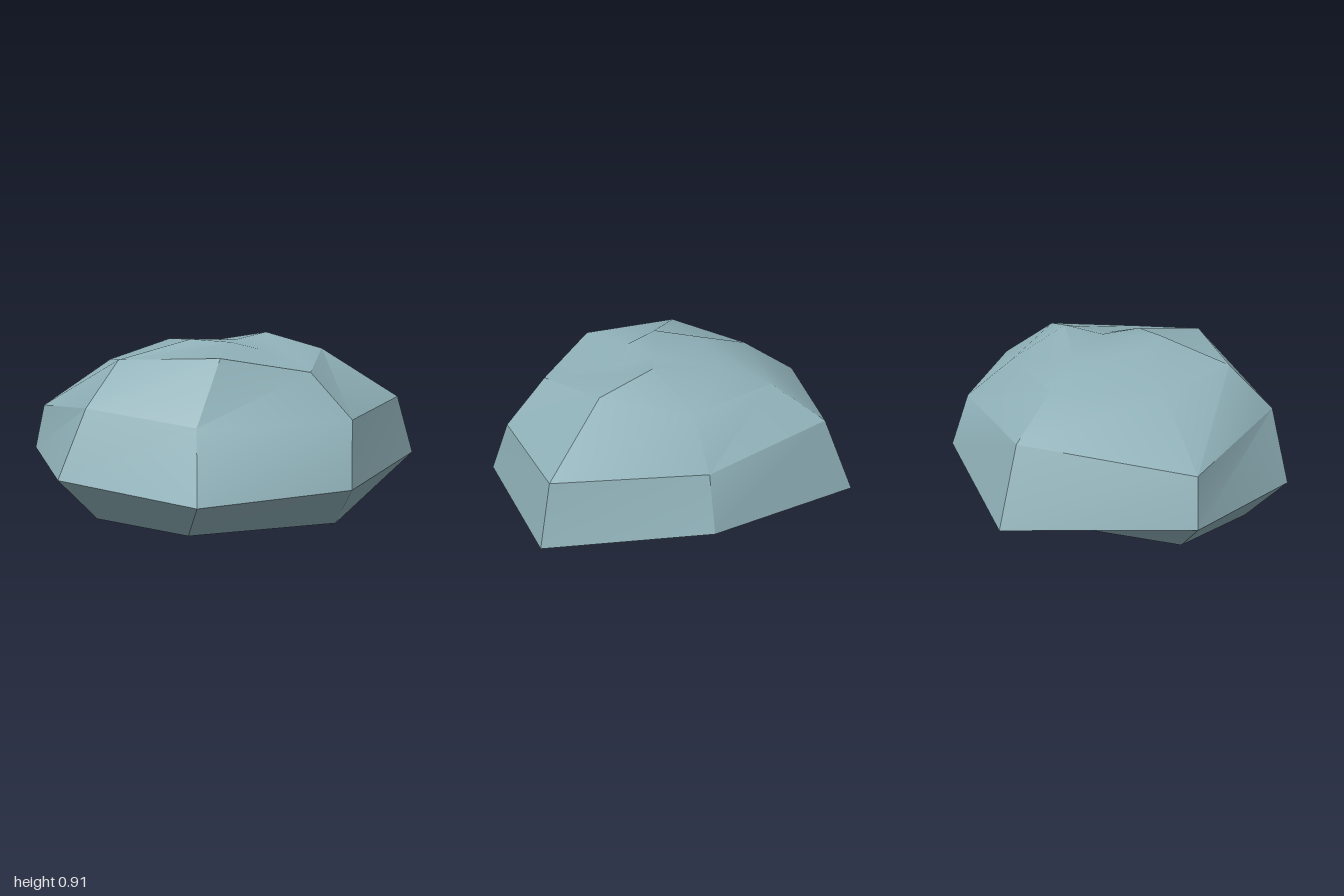
import * as THREE from 'three';
import { toCreasedNormals } from 'three/addons/utils/BufferGeometryUtils.js';

// Seven-sided cross-sections from the underside to the crown, as [x, y, z]
const rings = [
  // underside
  [[0.6, 0.07, 0], [0.46, 0, 0.45], [-0.31, 0.03, 0.68], [-0.71, 0.03, 0.28], [-0.8, 0.09, -0.27], [-0.2, 0.08, -0.58], [0.35, 0.08, -0.3]],
  // widest rim
  [[1, 0.26, 0.01], [0.46, 0.23, 0.73], [-0.31, 0.23, 0.97], [-0.9, 0.25, 0.37], [-1, 0.28, -0.37], [-0.33, 0.23, -0.98], [0.52, 0.3, -0.65]],
  // shoulder
  [[0.91, 0.565, 0.01], [0.5, 0.54, 0.58], [-0.27, 0.54, 0.69], [-0.76, 0.6, 0.39], [-0.95, 0.515, -0.33], [-0.28, 0.6, -0.83], [0.46, 0.57, -0.58]],
  // crown edge
  [[0.49, 0.83, 0.01], [0.32, 0.76, 0.465], [-0.13, 0.84, 0.51], [-0.59, 0.815, 0.25], [-0.6, 0.77, -0.2], [-0.2, 0.77, -0.56], [0.3, 0.77, -0.4]],
  // dented top
  [[0.25, 0.865, 0.01], [0.14, 0.84, 0.11], [-0.02, 0.885, 0.18], [-0.22, 0.9, 0.14], [-0.3, 0.885, -0.08], [-0.1, 0.84, -0.33], [0.22, 0.908, -0.12]],
];
const bottomCentre = [-0.05, 0.02, 0.15];
const topCentre = [0.04, 0.88, -0.02];

function rockGeometry() {
  const sides = rings[0].length;
  const points = [...rings.flat(), bottomCentre, topCentre];
  const bottom = points.length - 2, top = points.length - 1;
  const last = (rings.length - 1) * sides;
  const index = [];
  for (let i = 0; i < sides; i++) {
    const n = (i + 1) % sides;
    for (let base = 0; base < last; base += sides) {
      const a = base + i, b = base + n, c = a + sides, d = b + sides;
      index.push(a, c, b, b, c, d);
    }
    // close the underside and the top
    index.push(bottom, i, n, last + i, top, last + n);
  }
  const geometry = new THREE.BufferGeometry();
  geometry.setAttribute('position', new THREE.Float32BufferAttribute(points.flat(), 3));
  geometry.setIndex(index);
  return toCreasedNormals(geometry, 0.54);
}

export function createModel() {
  const stone = new THREE.MeshStandardMaterial({ color: 0x8fb0b8 });
  stone.name = 'blue grey stone';
  const rock = new THREE.Mesh(rockGeometry(), stone);
  rock.name = 'rock';
  const group = new THREE.Group();
  group.name = 'boulder';
  group.add(rock);
  return group;
}
